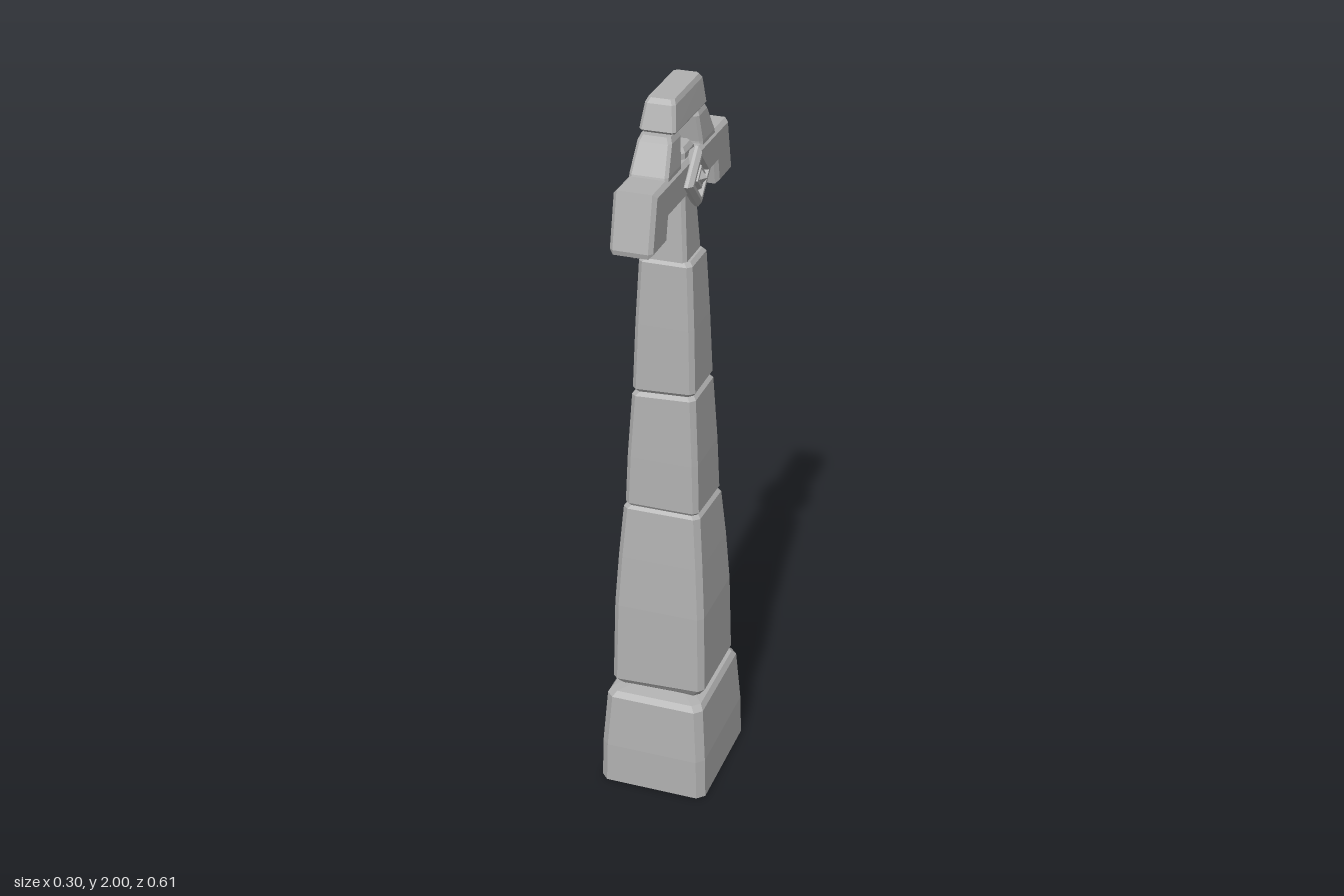
import * as THREE from 'three';

const stone = new THREE.MeshStandardMaterial({ color: 0xb0b0b0 });
stone.name = 'grey stone';

function faceted(geo) {
  const g = geo.index ? geo.toNonIndexed() : geo;
  g.computeVertexNormals();
  return g;
}

function add(group, name, geo) {
  const mesh = new THREE.Mesh(faceted(geo), stone);
  mesh.name = name;
  group.add(mesh);
  return mesh;
}

// Block with chamfered corners, lofted through rings listed from bottom to top.
// Ring: [y, half width x, half depth z, centre z, slope along x, slope along z]
function block(rings, chamfer) {
  const pos = [], idx = [];
  rings.forEach(([y, hx, hz, cz = 0, sx = 0, sz = 0]) => {
    const a = hx - chamfer, b = hz - chamfer;
    const outline = [[hx, b], [hx, -b], [a, -hz], [-a, -hz], [-hx, -b], [-hx, b], [-a, hz], [a, hz]];
    outline.forEach(([x, z]) => pos.push(x, y + sx * x + sz * z, z + cz));
  });
  for (let r = 0; r < rings.length - 1; r++) {
    for (let i = 0; i < 8; i++) {
      const a = r * 8 + i, b = r * 8 + (i + 1) % 8;
      idx.push(a, b, b + 8, a, b + 8, a + 8);
    }
  }
  const top = (rings.length - 1) * 8;
  for (let i = 1; i < 7; i++) {
    idx.push(0, i + 1, i);
    idx.push(top, top + i, top + i + 1);
  }
  const g = new THREE.BufferGeometry();
  g.setAttribute('position', new THREE.Float32BufferAttribute(pos, 3));
  g.setIndex(idx);
  return g;
}

// Four-sided stud: raised rim around a pointed centre, pointing up +y
function stud() {
  const profile = [[0.064, -0.01], [0.08, 0.008], [0.08, 0.016], [0.066, 0.026], [0.054, 0.026],
    [0.046, 0.014], [0.036, 0.014], [0.03, 0.025], [0.02, 0.025], [0, 0.04]];
  return new THREE.LatheGeometry(profile.map(([r, h]) => new THREE.Vector2(r, h)), 4);
}

export function createModel() {
  const model = new THREE.Group();
  model.name = 'stonePillar';

  // Stacked pillar stones
  add(model, 'base', block([
    [0, 0.152, 0.18], [0.12, 0.149, 0.178], [0.275, 0.138, 0.166], [0.29, 0.128, 0.154], [0.3, 0.08, 0.1],
  ], 0.02));
  add(model, 'lowerStone', block([
    [0.285, 0.108, 0.106], [0.3, 0.118, 0.118, 0, 0.03], [0.318, 0.132, 0.13, 0, 0.04],
    [0.55, 0.127, 0.124], [0.7, 0.118, 0.114], [0.84, 0.107, 0.102, 0, 0, 0.06], [0.852, 0.095, 0.09, 0, 0, 0.06],
  ], 0.015));
  add(model, 'middleStone', block([
    [0.84, 0.09, 0.088, 0, 0, 0.06], [0.856, 0.102, 0.098, 0, 0, 0.06], [1.0, 0.097, 0.093],
    [1.18, 0.087, 0.083, 0, 0.05], [1.192, 0.076, 0.072, 0, 0.05],
  ], 0.013));
  add(model, 'upperStone', block([
    [1.185, 0.074, 0.07, 0, 0.05], [1.2, 0.085, 0.081, 0, 0.05], [1.38, 0.079, 0.074],
    [1.55, 0.071, 0.066], [1.56, 0.062, 0.058],
  ], 0.012));
  add(model, 'neck', block([
    [1.55, 0.056, 0.06], [1.72, 0.046, 0.047], [1.84, 0.043, 0.042], [1.852, 0.035, 0.034],
  ], 0.009));

  // Crossbar with drooping ends, drawn in the z-y plane
  const half = [[0.272, 1.825], [0.305, 1.685], [0.302, 1.672], [0.195, 1.672], [0.182, 1.732]];
  const outline = [...half, ...half.map(([z, y]) => [-z, y]).reverse()];
  const bar = new THREE.ExtrudeGeometry(new THREE.Shape(outline.map(([z, y]) => new THREE.Vector2(z, y))), {
    depth: 0.09, bevelEnabled: true, bevelThickness: 0.01, bevelSize: 0.01, bevelOffset: -0.01, bevelSegments: 1,
  });
  bar.translate(0, 0, -0.045);
  bar.rotateY(Math.PI / 2);
  add(model, 'crossbar', bar);

  // Leaning posts and the cap stone they carry
  for (const s of [1, -1]) {
    add(model, s > 0 ? 'frontPost' : 'backPost', block([
      [1.81, 0.05, 0.056, 0.13 * s], [1.83, 0.05, 0.052, 0.127 * s],
      [1.9, 0.044, 0.038, 0.1 * s], [1.915, 0.038, 0.032, 0.098 * s],
    ], 0.008));
  }
  add(model, 'capStone', block([
    [1.91, 0.038, 0.108, -0.003], [1.922, 0.047, 0.12, -0.003],
    [1.985, 0.039, 0.106, -0.009, 0, -0.02], [1.997, 0.033, 0.097, -0.009, 0, -0.02],
  ], 0.008));

  // Diamond studs on the sides and under the bar ends
  for (const s of [1, -1]) {
    const side = add(model, s > 0 ? 'leftStud' : 'rightStud', stud());
    side.rotation.z = -s * Math.PI / 2;
    side.position.set(s * 0.05, 1.77, 0);

    const tip = add(model, s > 0 ? 'frontUnderStud' : 'backUnderStud', stud());
    tip.rotation.x = Math.PI;
    tip.scale.set(0.45, 0.55, 0.48);
    tip.position.set(0, 1.673, s * 0.247);
  }
  return model;
}
